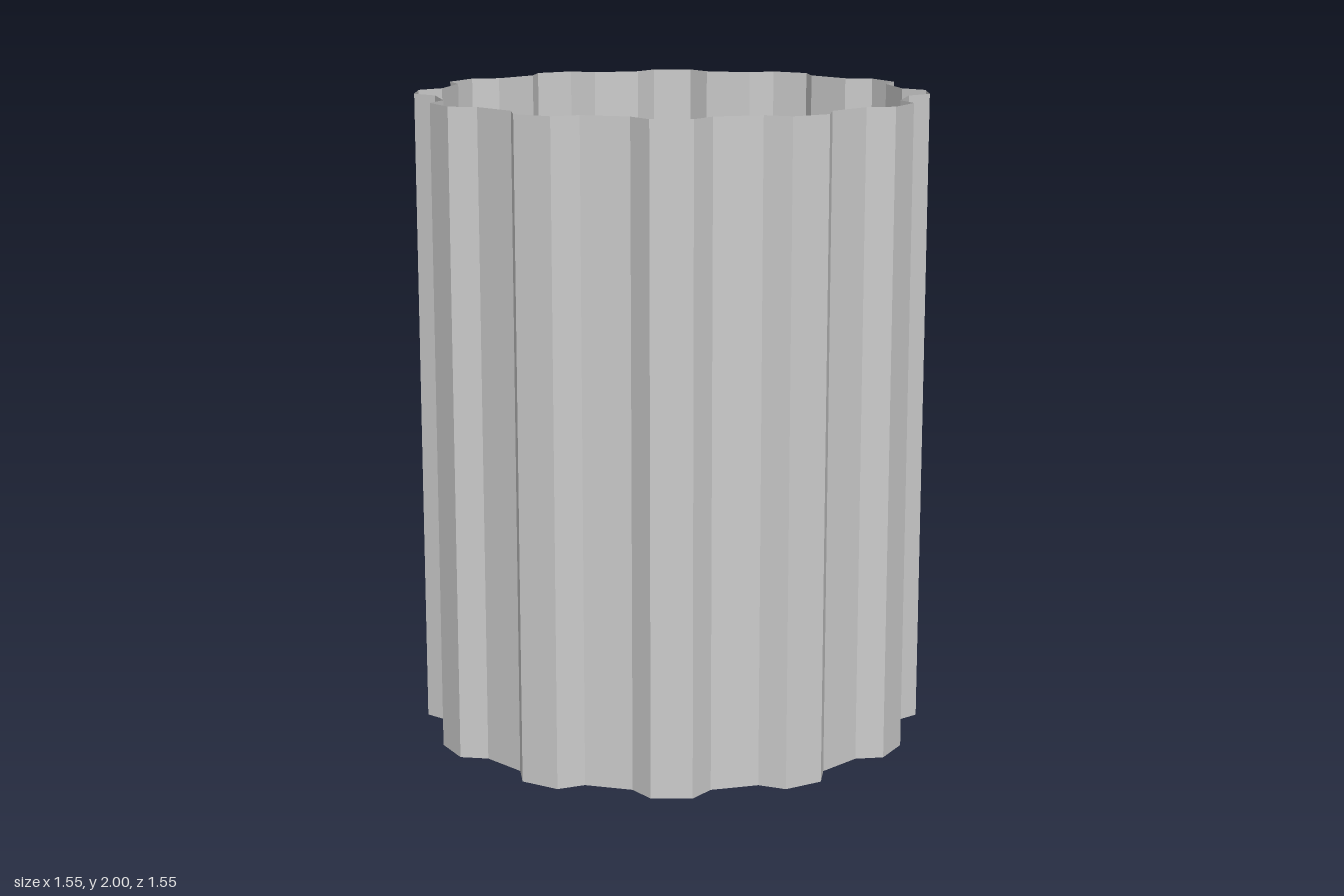
import * as THREE from 'three';

const TEETH = 12, HEIGHT = 2;
const OUTER = 0.79, INNER = 0.728;            // ridge and groove radii
const RIDGE_HALF = 4.5, GROOVE_HALF = 5.83;   // half widths in degrees

export function createModel() {
  const group = new THREE.Group();
  group.name = 'corrugatedTube';

  // Cross-section: a flat groove followed by a flat ridge, repeated around
  const ring = [];
  const add = (radius, degrees) => {
    const a = THREE.MathUtils.degToRad(degrees);
    ring.push([radius * Math.sin(a), radius * Math.cos(a)]);
  };
  const pitch = 360 / TEETH;
  for (let i = 0; i < TEETH; i++) {
    const groove = i * pitch, ridge = groove + pitch / 2;
    add(INNER, groove - GROOVE_HALF);
    add(INNER, groove + GROOVE_HALF);
    add(OUTER, ridge - RIDGE_HALF);
    add(OUTER, ridge + RIDGE_HALF);
  }

  // Straight wall, open at both ends, one quad per side of the section
  const positions = [];
  ring.forEach(([x0, z0], i) => {
    const [x1, z1] = ring[(i + 1) % ring.length];
    positions.push(x0, 0, z0, x1, 0, z1, x1, HEIGHT, z1);
    positions.push(x0, 0, z0, x1, HEIGHT, z1, x0, HEIGHT, z0);
  });
  const geometry = new THREE.BufferGeometry();
  geometry.setAttribute('position', new THREE.Float32BufferAttribute(positions, 3));
  geometry.computeVertexNormals();

  const wall = new THREE.Mesh(geometry, new THREE.MeshStandardMaterial({
    color: 0xcccccc, flatShading: true, side: THREE.DoubleSide,
  }));
  wall.name = 'flutedWall';
  group.add(wall);
  return group;
}
